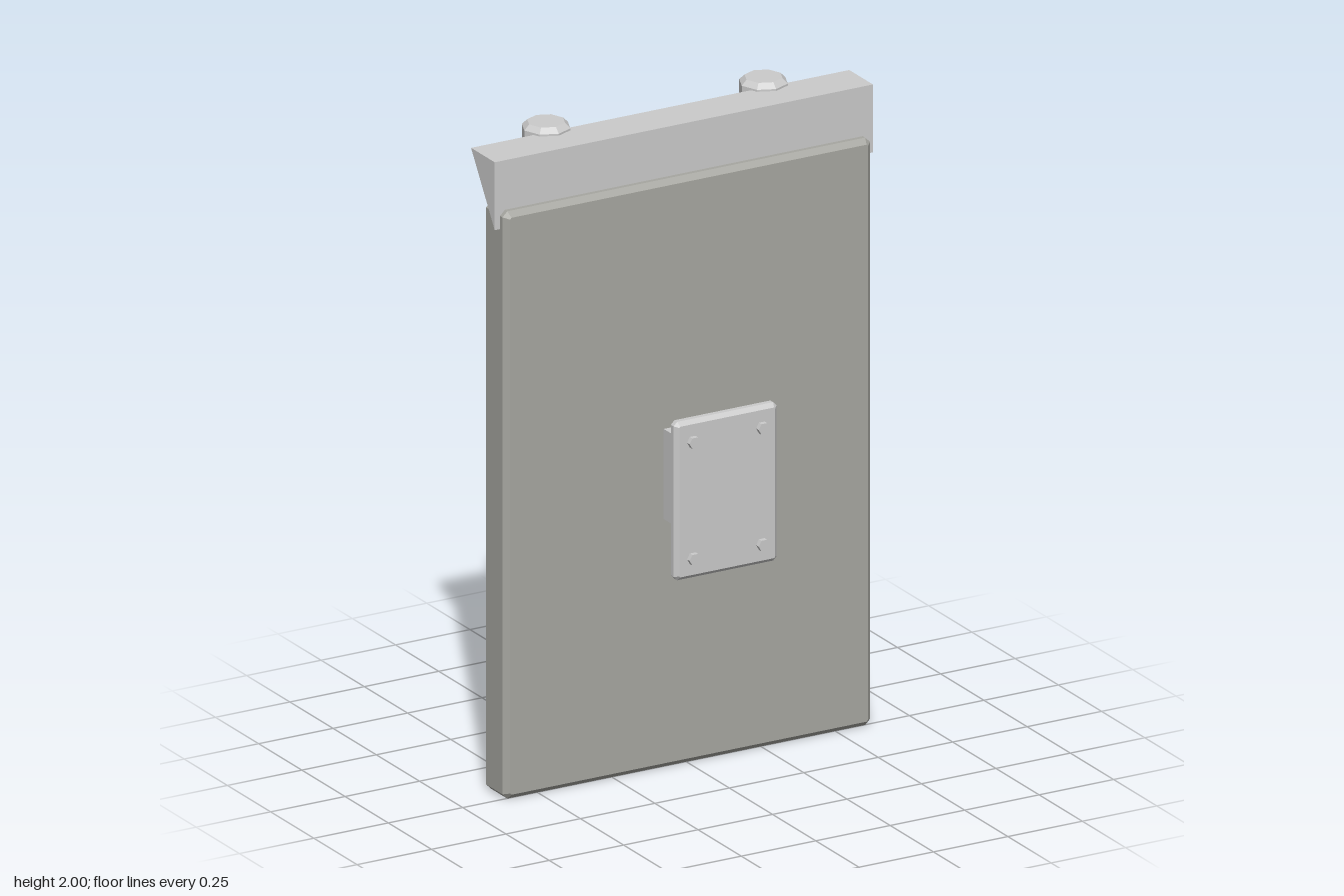
import * as THREE from 'three';

const material = (color = 0xcccccc) => new THREE.MeshStandardMaterial({ color, flatShading: true });
const grey = material();
const casing = material(0xa7a7a1);
const blue = material(0x7fa8d4);

// Corner-cut rectangle in XY
function ring(hw, hh, cut, z) {
  const a = hw - cut, b = hh - cut;
  return [[hw, -b], [hw, b], [a, hh], [-a, hh], [-hw, b], [-hw, -b], [-a, -hh], [a, -hh]]
    .map(([x, y]) => [x, y, z]);
}

// Skin through rings ordered from front (+z) round to back, capped at both ends
function loft(rings) {
  const pos = [], n = rings[0].length;
  const tri = (...pts) => pts.forEach(p => pos.push(...p));
  for (let r = 0; r < rings.length - 1; r++) {
    for (let i = 0; i < n; i++) {
      const j = (i + 1) % n, f = rings[r], b = rings[r + 1];
      tri(f[i], b[i], b[j]);
      tri(f[i], b[j], f[j]);
    }
  }
  const first = rings[0], last = rings[rings.length - 1];
  for (let i = 1; i < n - 1; i++) {
    tri(first[0], first[i], first[i + 1]);
    tri(last[0], last[i + 1], last[i]);
  }
  const g = new THREE.BufferGeometry();
  g.setAttribute('position', new THREE.Float32BufferAttribute(pos, 3));
  g.computeVertexNormals();
  return g;
}

// Rings of a slab with chamfered edges
function slabRings(hw, hh, z0, z1, c) {
  return [
    ring(hw - c, hh - c, c * 0.3, z1), ring(hw, hh, c, z1 - c),
    ring(hw, hh, c, z0 + c), ring(hw - c, hh - c, c * 0.3, z0),
  ];
}

export function createModel() {
  const model = new THREE.Group();
  const add = (name, geometry, mat, x, y, z) => {
    const mesh = new THREE.Mesh(geometry, mat);
    mesh.name = name;
    mesh.position.set(x, y, z);
    model.add(mesh);
    return mesh;
  };
  const box = (name, w, h, d, mat, x, y, z) => add(name, new THREE.BoxGeometry(w, h, d), mat, x, y, z);

  // Casing with a shallow recess in its back
  const rings = slabRings(0.617, 0.912, -0.11, 0.017, 0.016);
  rings.push(ring(0.54, 0.835, 0.002, -0.11), ring(0.54, 0.835, 0.002, -0.09));
  add('casing', loft(rings), casing, 0, 0.912, 0);

  // Display panel and its three raised bars
  box('displayPanel', 1.08, 1.67, 0.02, blue, 0, 0.912, -0.09);
  [[0.77, 1.378], [0.62, 0.945], [0.47, 0.513]].forEach(([w, y]) =>
    box('displayBar', w, 0.182, 0.03, grey, 0, y, -0.113));

  // Mounting arm, plate and bolts on the front
  box('mountArm', 0.17, 0.28, 0.2, grey, 0, 0.915, 0.105);
  add('mountPlate', loft(slabRings(0.173, 0.246, 0.198, 0.238, 0.012)), grey, 0, 0.914, 0);
  for (const x of [-0.116, 0.116]) {
    for (const y of [0.732, 1.094]) {
      const bolt = new THREE.CylinderGeometry(0.019, 0.019, 0.03, 6).rotateX(Math.PI / 2).rotateZ(Math.PI / 2);
      add('mountBolt', bolt, grey, x, y, 0.238);
    }
  }

  // Wedge-shaped hood along the top: profile in (-z, y), extruded along x
  const wedge = new THREE.Shape([[0.013, 1.767], [0.15, 1.978], [0.013, 1.978]]
    .map(p => new THREE.Vector2(...p)));
  const hood = new THREE.ExtrudeGeometry(wedge, { depth: 1.27, bevelEnabled: false });
  hood.translate(0, 0, -0.635).rotateY(Math.PI / 2);
  add('hood', hood, grey, 0, 0, 0);

  // Octagonal lamps on the hood
  const profile = [[0, 1.908], [0.073, 1.908], [0.073, 1.984], [0.057, 2], [0, 2]]
    .map(p => new THREE.Vector2(...p));
  for (const x of [-0.365, 0.365]) {
    add('hoodLamp', new THREE.LatheGeometry(profile, 8), grey, x, 0, -0.181);
  }
  return model;
}
